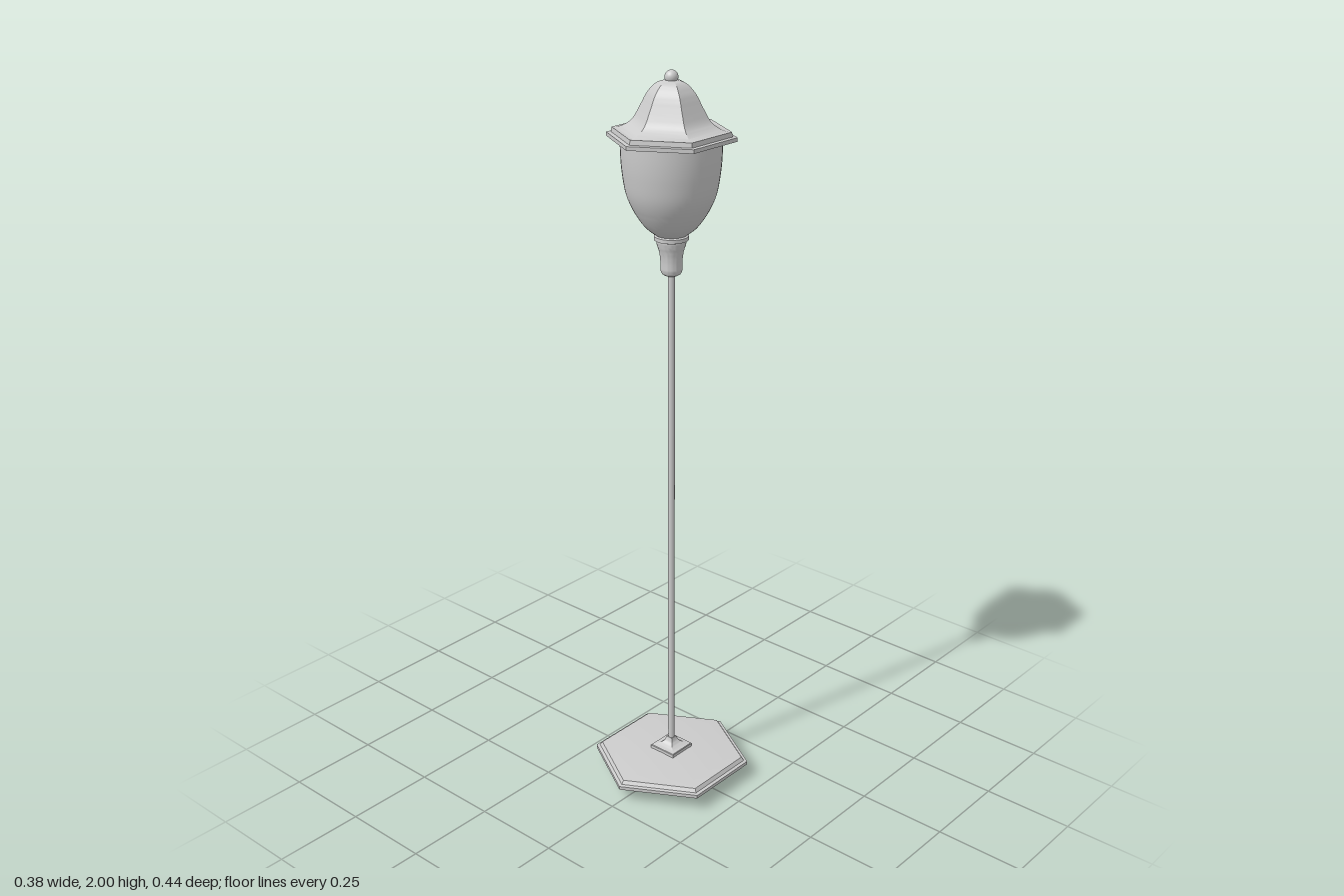
import * as THREE from 'three';
import { toCreasedNormals } from 'three/addons/utils/BufferGeometryUtils.js';

export function createModel() {
  const group = new THREE.Group();
  const material = new THREE.MeshStandardMaterial({ color: 0xcccccc, side: THREE.DoubleSide });

  const add = (name, geometry) => {
    const mesh = new THREE.Mesh(geometry, material);
    mesh.name = name;
    group.add(mesh);
    return mesh;
  };
  const points = (list) => list.map(([r, y]) => new THREE.Vector2(r, y));
  // Profile of [radius, height], bottom to top, turned with the given number of sides
  const turned = (name, profile, sides, crease = 0.5) =>
    add(name, toCreasedNormals(new THREE.LatheGeometry(profile, sides), crease));
  const smooth = (list, n) => new THREE.SplineCurve(points(list)).getPoints(n);

  // Ground spike block
  add('baseBlock', new THREE.BoxGeometry(0.08, 0.045, 0.08)).position.y = 0.0225;

  // Hexagonal base plate with a stepped edge
  turned('basePlate', points([
    [0, 0.04], [0.22, 0.04], [0.22, 0.05], [0.21, 0.052], [0.203, 0.062], [0.17, 0.065], [0, 0.074],
  ]), 6, 0.3);

  // Square foot flaring up into the pole
  const foot = turned('poleFoot', [
    ...points([[0, 0.066], [0.058, 0.066], [0.058, 0.08]]),
    ...smooth([[0.056, 0.082], [0.034, 0.087], [0.02, 0.095], [0.014, 0.108]], 8),
    new THREE.Vector2(0, 0.108),
  ], 4);
  foot.rotation.y = Math.PI / 4;

  // Pole
  const pole = add('pole', new THREE.CylinderGeometry(0.009, 0.009, 1.425, 24));
  pole.position.y = 0.07 + 1.425 / 2;

  // Socket with a collar under the bowl
  turned('socket', [
    ...points([[0, 1.484], [0.018, 1.484]]),
    ...smooth([[0.024, 1.488], [0.028, 1.498], [0.028, 1.52], [0.031, 1.545], [0.037, 1.565], [0.038, 1.575]], 16),
    ...points([[0.044, 1.577], [0.044, 1.587], [0.038, 1.59], [0, 1.592]]),
  ], 40);

  // Rounded lamp bowl
  turned('bowl', [
    new THREE.Vector2(0, 1.588),
    ...smooth([[0.04, 1.59], [0.068, 1.613], [0.095, 1.653], [0.113, 1.695],
      [0.122, 1.745], [0.126, 1.79], [0.127, 1.838]], 28),
  ], 48);

  // Hexagonal brim
  turned('brim', points([
    [0, 1.832], [0.164, 1.832], [0.164, 1.842], [0.152, 1.843], [0.15, 1.855], [0, 1.857],
  ]), 6);

  // Bell-shaped hexagonal roof
  turned('roof', smooth([
    [0.148, 1.853], [0.122, 1.861], [0.098, 1.878], [0.078, 1.912],
    [0.06, 1.945], [0.036, 1.969], [0.006, 1.978],
  ], 30), 6, 0.35);

  // Ball finial
  add('finial', new THREE.SphereGeometry(0.017, 28, 18)).position.y = 1.983;

  return group;
}
